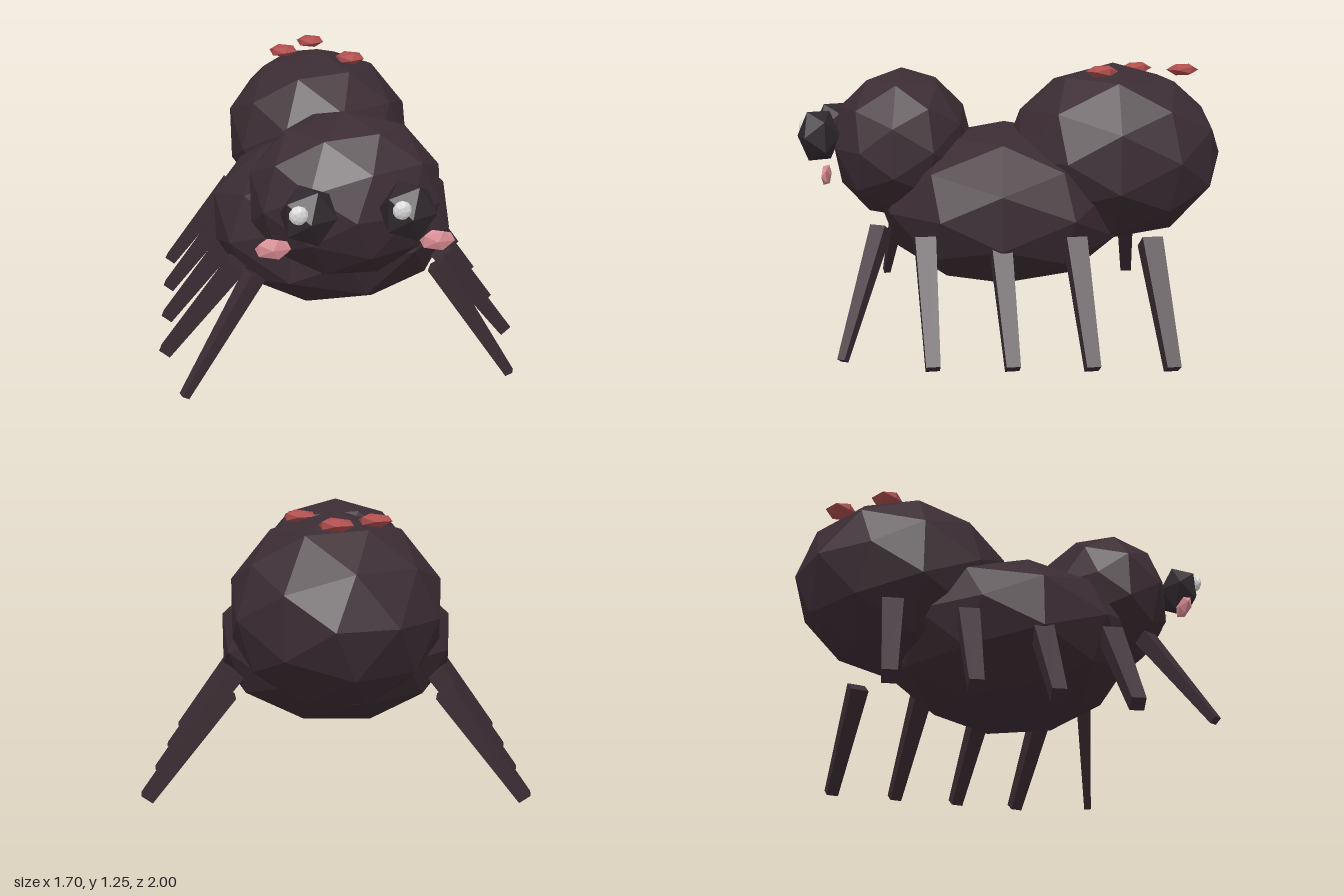
import * as THREE from 'three';

const material = (name, color) => {
  const m = new THREE.MeshStandardMaterial({ color });
  m.name = name;
  return m;
};

// Faceted ellipsoid whose poles lie along z
function ball(name, mat, detail, [rx, ry, rz], [x, y, z]) {
  let geo = new THREE.IcosahedronGeometry(1, detail);
  if (geo.index) geo = geo.toNonIndexed();
  geo.rotateX(Math.atan2(0.5257, 0.8507)).rotateZ(Math.PI / 2).scale(rx, ry, rz);
  geo.computeVertexNormals();
  const mesh = new THREE.Mesh(geo, mat);
  mesh.name = name;
  mesh.position.set(x, y, z);
  return mesh;
}

// Tapered square bar from the hip down to the foot
function leg(name, mat, hip, foot, hipWidth, footWidth) {
  const a = new THREE.Vector3(...hip), b = new THREE.Vector3(...foot);
  const up = a.clone().sub(b);
  const length = up.length();
  up.normalize();
  const side = new THREE.Vector3(-up.z, 0, up.x).normalize();
  const out = new THREE.Vector3().crossVectors(up, side);
  const geo = new THREE.CylinderGeometry(hipWidth * Math.SQRT1_2, footWidth * Math.SQRT1_2, length, 4)
    .rotateY(Math.PI / 4).toNonIndexed();
  geo.applyMatrix4(new THREE.Matrix4().makeBasis(out, up, side));
  geo.computeVertexNormals();
  const mesh = new THREE.Mesh(geo, mat);
  mesh.name = name;
  mesh.position.copy(a).add(b).multiplyScalar(0.5);
  return mesh;
}

export function createModel() {
  const model = new THREE.Group();
  model.name = 'ant';
  const shell = material('dark brown shell', 0x3b2c33);
  const eye = material('eye black', 0x2f272d);
  const shine = material('eye shine', 0xd8d8d8);
  const pink = material('cheek pink', 0xd98c94);
  const red = material('spot red', 0xb04e4e);

  // Body
  model.add(
    ball('abdomen', shell, 1, [0.478, 0.43, 0.523], [0, 0.82, -0.477]),
    ball('thorax', shell, 1, [0.587, 0.393, 0.61], [0, 0.577, 0.045]),
    ball('head', shell, 1, [0.426, 0.364, 0.339], [0, 0.864, 0.534]),
  );

  // Spots hovering on the abdomen
  for (const [x, z] of [[0, -0.81], [-0.163, -0.61], [0.158, -0.41]])
    model.add(ball('spot', red, 0, [0.077, 0.031, 0.077], [x, 1.217, z]));

  for (const s of [-1, 1]) {
    const label = s > 0 ? 'left' : 'right';

    // Face
    model.add(
      ball(label + 'Eye', eye, 0, [0.12, 0.132, 0.1], [s * 0.197, 0.924, 0.9]),
      ball(label + 'EyeShine', shine, 1, [0.038, 0.04, 0.02], [s * 0.2 - 0.043, 0.96, 0.978]),
      ball(label + 'Cheek', pink, 0, [0.08, 0.05, 0.022], [s * 0.335, 0.763, 0.845]),
    );

    // Thin front leg, then four matching legs behind it
    model.add(leg(label + 'FrontLeg', shell, [s * 0.4, 0.53, 0.595], [s * 0.728, 0.025, 0.727], 0.075, 0.036));
    for (let i = 0; i < 4; i++) {
      const z = 0.335 - i * 0.333;
      model.add(leg(label + 'Leg' + (i + 1), shell, [s * 0.47, 0.487, z + 0.056], [s * 0.82, 0.022, z], 0.092, 0.06));
    }
  }
  return model;
}
